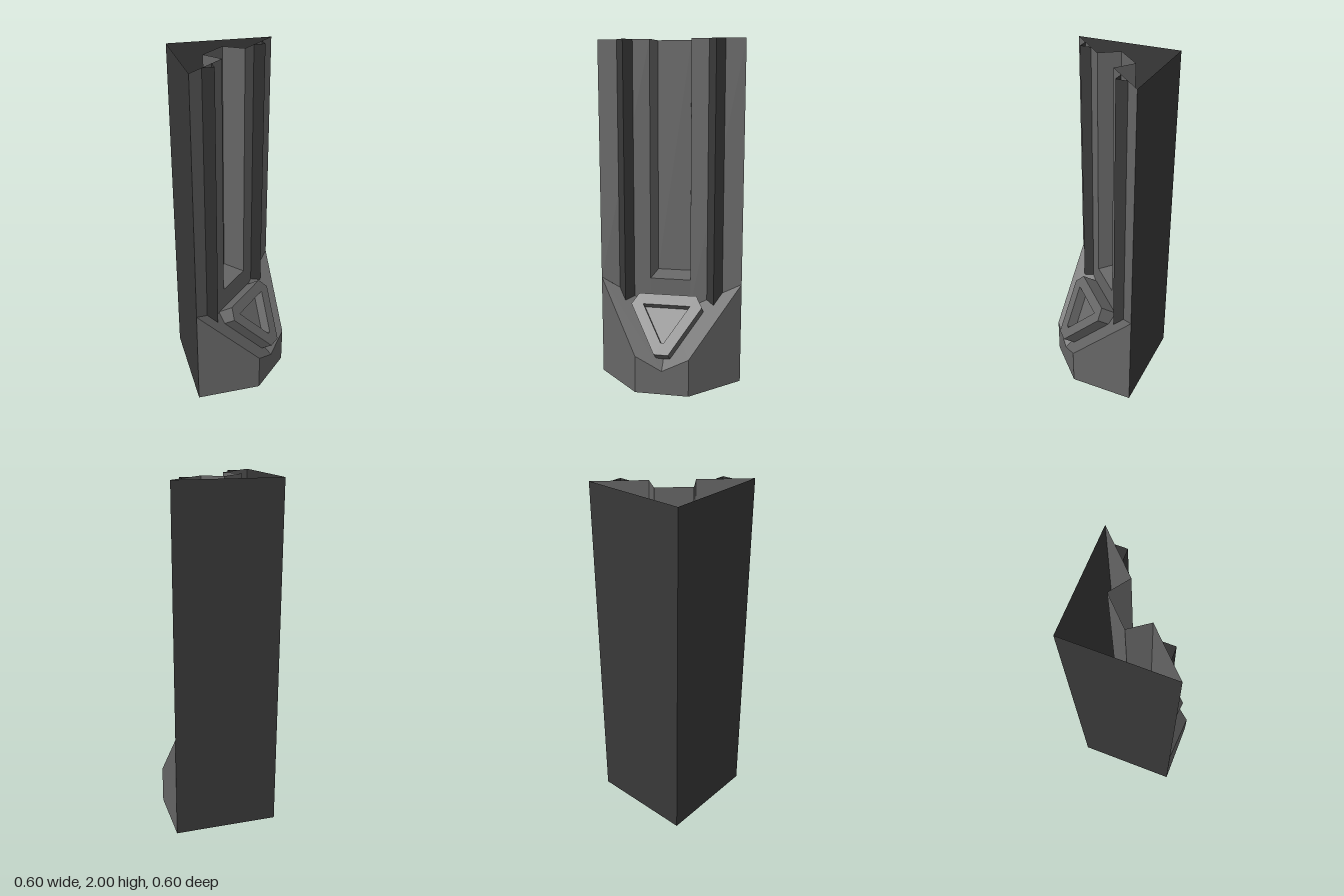
import * as THREE from 'three';

const grey = new THREE.MeshStandardMaterial({ color: 0x676767, side: THREE.DoubleSide });
grey.name = 'concrete grey';
const dark = new THREE.MeshStandardMaterial({ color: 0x393939, side: THREE.DoubleSide });
dark.name = 'dark grey';

// Flat polygons, each given as a loop of [x, y, z] corners
function panels(name, material, polygons) {
  const pos = [];
  for (const p of polygons)
    for (let i = 1; i < p.length - 1; i++) pos.push(...p[0], ...p[i], ...p[i + 1]);
  const geo = new THREE.BufferGeometry();
  geo.setAttribute('position', new THREE.Float32BufferAttribute(pos, 3));
  geo.computeVertexNormals();
  const mesh = new THREE.Mesh(geo, material);
  mesh.name = name;
  return mesh;
}

// Add the mirror image across the diagonal plane x = z
const mirrored = (polys) =>
  polys.concat(polys.map((p) => p.map(([x, y, z]) => [z, y, x]).reverse()));

// Height of the creased slope at the foot of the diagonal wall
const slope = (x, z) => 0.382 - 0.636 * (x + z) + 0.364 * Math.abs(x - z);

// Lay flat (z, x, t) geometry on the inclined plane, t running along its normal
function incline(geo) {
  const p = geo.attributes.position;
  for (let i = 0; i < p.count; i++) {
    const z = p.getX(i), x = p.getY(i), t = p.getZ(i);
    p.setXYZ(i, x + t, 0.66 - x - z + t, z + t);
  }
  geo.computeVertexNormals();
  return geo;
}

export function createModel() {
  const model = new THREE.Group();
  model.name = 'cornerPillar';
  const H = 2;

  // Square back walls and base
  model.add(panels('backWalls', dark, mirrored([
    [[-0.3, 0, -0.3], [-0.3, 0, 0.3], [-0.3, H, 0.3], [-0.3, H, -0.3]],
  ])));
  model.add(panels('base', dark, [
    [[-0.3, 0, -0.3], [0.3, 0, -0.3], [0.3, 0, 0.08], [0.08, 0, 0.3], [-0.3, 0, 0.3]],
  ]));

  // Diagonal wall, either side of and below the recess
  const r = 0.085;
  model.add(panels('diagonalWall', grey, mirrored([
    [[-0.3, 0.6, 0.3], [-r, slope(-r, r), r], [-r, H, r], [-0.3, H, 0.3]],
    [[-r, slope(-r, r), r], [0, slope(0, 0), 0], [0, 0.61, 0], [-r, 0.61, r]],
  ])));

  // Tall central recess
  model.add(panels('recessSides', grey, mirrored([
    [[-r, 0.61, r], [-0.16, 0.635, -0.02], [-0.16, H, -0.02], [-r, H, r]],
  ])));
  model.add(panels('recessBack', grey, [
    [[-0.16, 0.635, -0.02], [-0.02, 0.635, -0.16], [-0.02, H, -0.16], [-0.16, H, -0.02]],
    [[-r, 0.61, r], [r, 0.61, -r], [-0.02, 0.635, -0.16], [-0.16, 0.635, -0.02]],
  ]));

  // Dark vertical ridges
  const a = 0.22, b = 0.155;
  model.add(panels('ridges', dark, mirrored([
    [[-a, slope(-a, a), a], [-b, slope(-b, a), a], [-b, H, a], [-a, H, a]],
    [[-b, slope(-b, a), a], [-b, slope(-b, b), b], [-b, H, b], [-b, H, a]],
  ])));

  // Foot: creased slope, front walls and cut corner
  model.add(panels('footSlope', grey, mirrored([
    [[-0.3, 0.6, 0.3], [0.08, 0.22, 0.3], [0.19, 0.14, 0.19], [0, slope(0, 0), 0]],
  ])));
  model.add(panels('footWalls', grey, mirrored([
    [[-0.3, 0, 0.3], [0.08, 0, 0.3], [0.08, 0.22, 0.3], [-0.3, 0.6, 0.3]],
    [[0.08, 0, 0.3], [0.19, 0, 0.19], [0.19, 0.14, 0.19], [0.08, 0.22, 0.3]],
  ])));

  // Triangular block with a pocket, set into the slope
  const toPoints = (pts) => pts.map(([u, v]) => new THREE.Vector2(u, v));
  const outline = new THREE.Shape(toPoints([
    [0.18, -0.06], [0.235, -0.06], [0.235, 0.177], [0.177, 0.235], [-0.06, 0.235], [-0.06, 0.18],
  ]));
  const pocket = toPoints([[0.184, -0.012], [0.184, 0.172], [0.172, 0.184], [-0.012, 0.184]]);
  outline.holes.push(new THREE.Path(pocket));
  const blockGeo = new THREE.ExtrudeGeometry(outline, { depth: 0.08, bevelEnabled: false });
  const block = new THREE.Mesh(incline(blockGeo.translate(0, 0, -0.08)), grey);
  block.name = 'triangularBlock';
  const floorGeo = new THREE.ShapeGeometry(new THREE.Shape(pocket)).translate(0, 0, -0.037);
  const floor = new THREE.Mesh(incline(floorGeo), grey);
  floor.name = 'pocketFloor';
  model.add(block, floor);

  return model;
}
